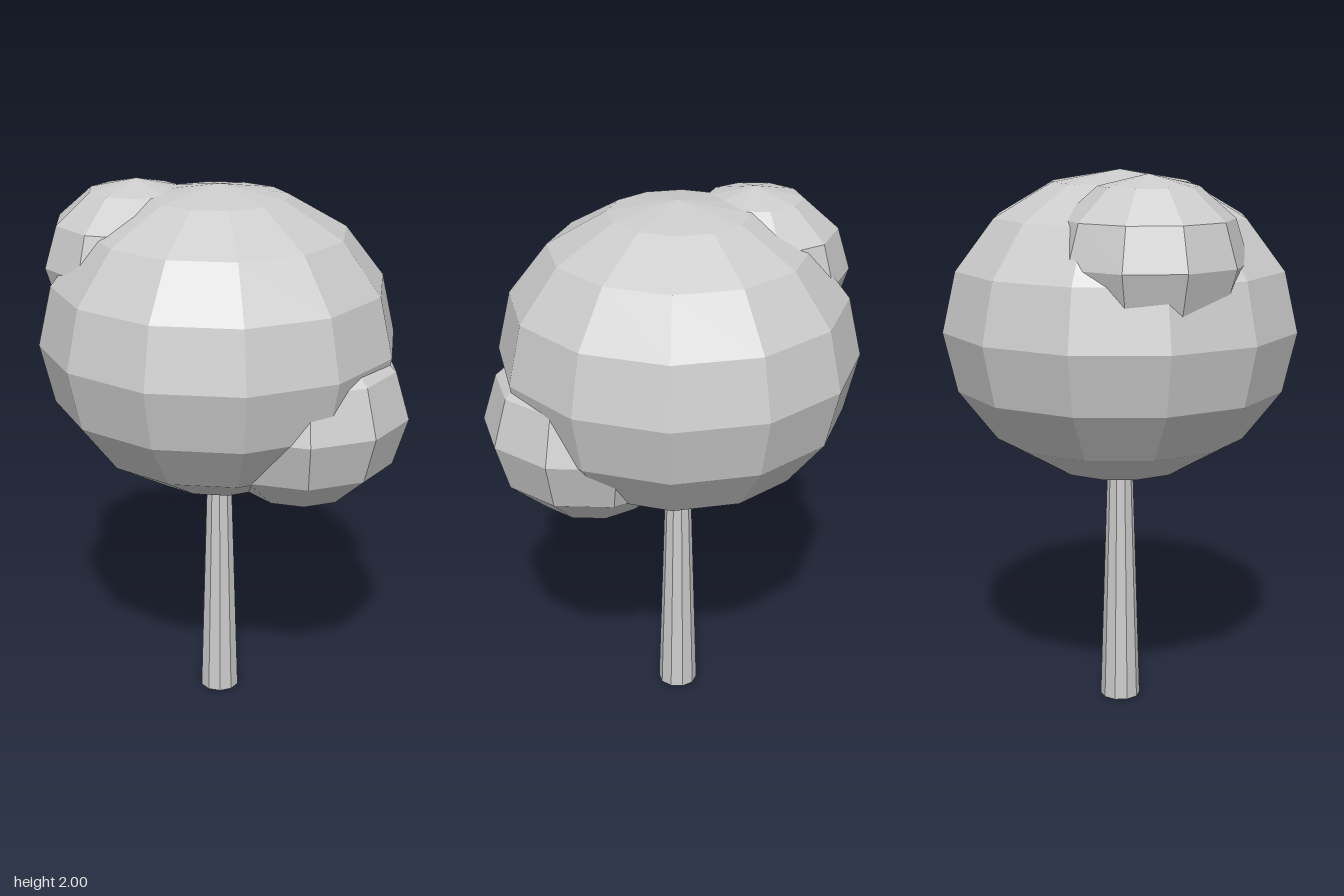
import * as THREE from 'three';

export function createModel() {
  const tree = new THREE.Group();
  tree.name = 'tree';

  const grey = new THREE.MeshStandardMaterial({ color: 0xcccccc, flatShading: true });
  grey.name = 'plain grey';

  const add = (name, geometry, x, y, z) => {
    const mesh = new THREE.Mesh(geometry, grey);
    mesh.name = name;
    mesh.position.set(x, y, z);
    tree.add(mesh);
    return mesh;
  };

  // A faceted clump of leaves, slightly flattened in height
  const addClump = (name, x, y, z, radius, halfHeight, sides, rings) => {
    const geometry = new THREE.SphereGeometry(radius, sides, rings);
    geometry.scale(1, halfHeight / radius, 1);
    return add(name, geometry, x, y, z);
  };

  // Tapered ten-sided trunk, ending inside the crown
  const trunk = new THREE.CylinderGeometry(0.0445, 0.075, 1, 10);
  trunk.rotateY(Math.PI / 2);
  add('trunk', trunk, -0.025, 0.5, 0);

  // Main crown with two side clumps
  addClump('crown', -0.025, 1.438, 0, 0.65, 0.562, 12, 8);
  addClump('upperClump', -0.285, 1.7, 0.17, 0.345, 0.3, 10, 6);
  addClump('lowerClump', 0.28, 1.22, -0.135, 0.39, 0.345, 10, 6);

  return tree;
}
